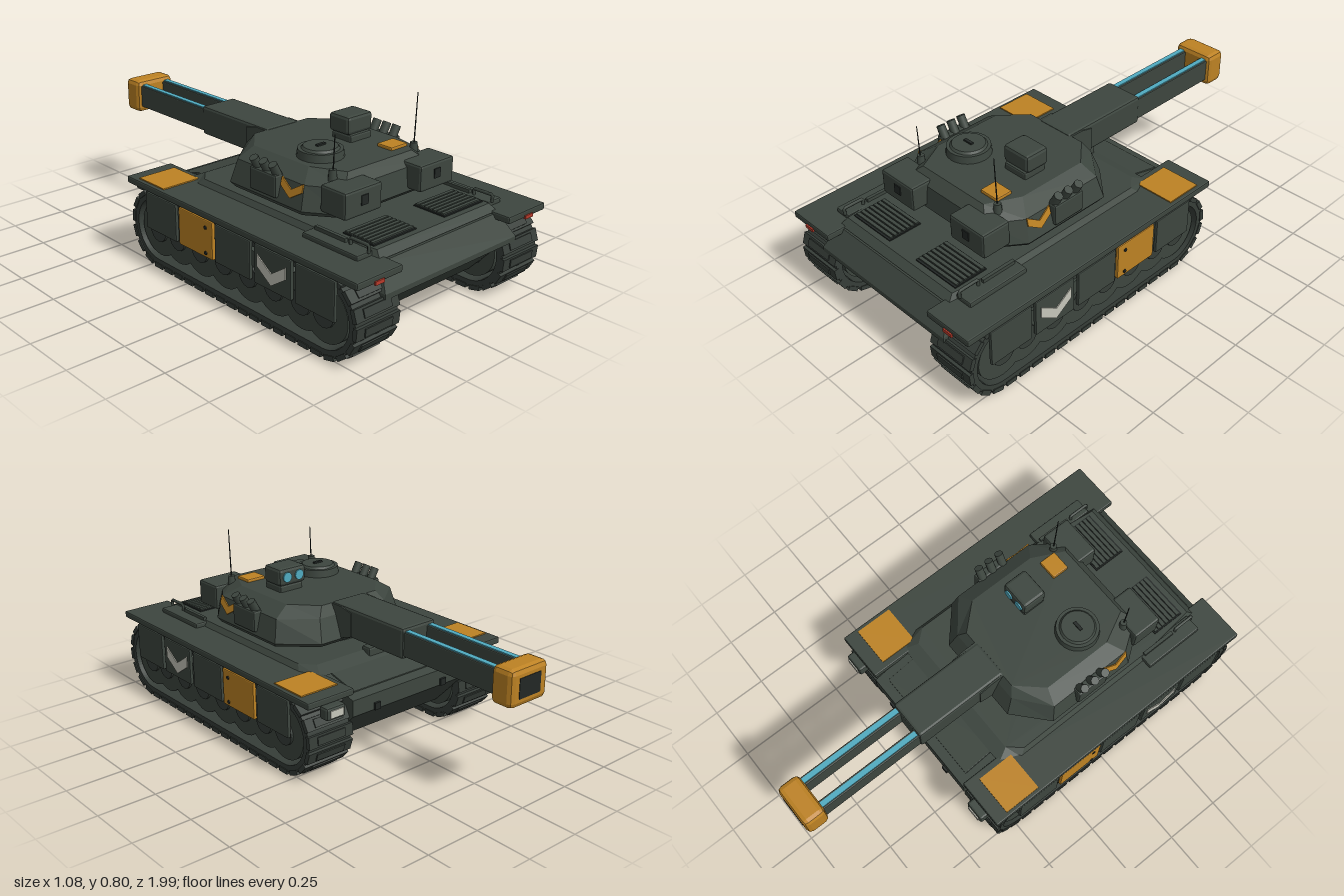
import * as THREE from 'three';
import { RoundedBoxGeometry } from 'three/addons/geometries/RoundedBoxGeometry.js';

const mat = (name, color) => {
  const m = new THREE.MeshStandardMaterial({ color });
  m.name = name;
  return m;
};

export function createModel() {
  const root = new THREE.Group();
  root.name = 'tank';
  const armour = mat('armourGreen', 0x3d463f), tread = mat('treadGreen', 0x363d38);
  const dark = mat('darkMetal', 0x222725), orange = mat('ochre', 0xbd8223);
  const blue = mat('glowBlue', 0x50abc0), white = mat('paleGrey', 0xc6c6ba), red = mat('lampRed', 0xb83a2a);

  const add = (name, geo, m, x = 0, y = 0, z = 0) => {
    const mesh = new THREE.Mesh(geo, m);
    mesh.name = name;
    mesh.position.set(x, y, z);
    root.add(mesh);
    return mesh;
  };
  // box given by its limits, with an optional chamfer
  const box = (name, m, x0, x1, y0, y1, z0, z1, c = 0) => {
    const w = x1 - x0, h = y1 - y0, d = z1 - z0;
    const g = c ? new RoundedBoxGeometry(w, h, d, 1, c) : new THREE.BoxGeometry(w, h, d);
    if (c) g.computeVertexNormals();
    return add(name, g, m, (x0 + x1) / 2, (y0 + y1) / 2, (z0 + z1) / 2);
  };
  // the same box on both sides
  const pair = (name, m, x0, x1, ...r) => {
    box(name, m, x0, x1, ...r);
    box(name, m, -x1, -x0, ...r);
  };
  const cyl = (name, m, r0, r1, h, x, y, z, n = 20) => add(name, new THREE.CylinderGeometry(r0, r1, h, n), m, x, y, z);
  const poly = pts => new THREE.Shape(pts.map(p => new THREE.Vector2(...p)));
  // side profile in (z, y), extruded across x and centred
  const profile = (shape, width) => {
    const g = new THREE.ExtrudeGeometry(shape, { depth: width, bevelEnabled: false, curveSegments: 16 });
    return g.translate(0, 0, -width / 2).rotateY(-Math.PI / 2);
  };
  // faceted solid through stacked rings of equal point count, lowest first
  const loft = rings => {
    const pos = [], n = rings[0].length;
    const tri = (...p) => p.forEach(v => pos.push(...v));
    for (let k = 0; k + 1 < rings.length; k++) for (let i = 0; i < n; i++) {
      const j = (i + 1) % n, a = rings[k], b = rings[k + 1];
      tri(a[i], b[j], a[j]);
      tri(a[i], b[i], b[j]);
    }
    const top = rings[rings.length - 1], bot = rings[0];
    for (let i = 1; i < n - 1; i++) {
      tri(top[0], top[i + 1], top[i]);
      tri(bot[0], bot[i], bot[i + 1]);
    }
    const g = new THREE.BufferGeometry();
    g.setAttribute('position', new THREE.Float32BufferAttribute(pos, 3));
    g.computeVertexNormals();
    return g;
  };
  // eight-cornered ring, clockwise from above: muzzle-end, side and engine-end half widths, four z stations
  const ring = (y, xf, xs, xr, z0, z1, z2, z3) => [
    [-xf, y, z0], [xf, y, z0], [xs, y, z1], [xs, y, z2],
    [xr, y, z3], [-xr, y, z3], [-xs, y, z2], [-xs, y, z1]];

  // hull
  add('lowerHull', profile(poly([[-.165, .372], [-.375, .32], [-.375, .25], [-.22, .09], [.8, .09], [.95, .25], [.89, .372]]), .62), armour);
  add('rearPlate', loft([
    ring(.25, .35, .375, .375, .78, .8, .9, .968),
    ring(.272, .35, .375, .375, .78, .8, .9, .968),
    ring(.365, .31, .335, .335, .78, .8, .87, .905)]), armour);
  pair('fender', armour, .305, .535, .345, .375, -.375, .983, .006);
  add('raisedDeck', loft([ring(.37, .33, .37, .335, -.2, -.11, .62, .9), ring(.397, .3, .35, .32, -.14, -.08, .6, .87)]), armour);
  box('glacisPanel', armour, -.27, .27, -.005, .005, -.085, .085, .003).position.set(0, .352, -.25);
  root.children[root.children.length - 1].rotation.x = -.243;
  box('driverPeriscope', armour, -.05, .05, .36, .415, -.18, -.13, .008);
  pair('frontTowHook', dark, .17, .2, .25, .28, -.385, -.35);
  pair('fenderPanel', orange, .335, .517, .372, .38, -.31, -.14);

  // engine grilles
  for (const s of [-1, 1]) {
    box('grille', dark, s * .195 - .115, s * .195 + .115, .39, .402, .69, .845);
    for (let i = 0; i < 7; i++)
      box('grilleSlat', armour, s * .195 - .11, s * .195 + .11, .398, .408, .695 + i * .021, .71 + i * .021);
  }
  pair('stowageRack', armour, .33, .41, .37, .395, .575, .86, .006);
  pair('towBar', armour, .345, .36, .39, .41, .59, .75);
  for (const s of [-1, 1]) {
    const pts = [[.77, .39], [.77, .42], [.86, .42], [.86, .39]].map(([z, y]) => new THREE.Vector3(s * .352, y, z));
    add('deckHandle', new THREE.TubeGeometry(new THREE.CatmullRomCurve3(pts, false, 'catmullrom', .1), 18, .007, 6), armour);
  }

  // lamps
  pair('headlampHousing', armour, .375, .47, .29, .345, -.41, -.36, .01);
  pair('headlampLens', white, .39, .455, .302, .333, -.415, -.408);
  pair('tailLamp', red, .403, .45, .341, .356, .98, .989);

  // running gear
  const R = .165, CY = .18, ZF = -.19, ZR = .8;
  const loop = (S, r) => {
    const s = new S();
    s.absarc(ZR, CY, r, -Math.PI / 2, Math.PI / 2, false);
    s.absarc(ZF, CY, r, Math.PI / 2, Math.PI * 1.5, false);
    s.closePath();
    return s;
  };
  const band = loop(THREE.Shape, R);
  band.holes.push(loop(THREE.Path, R - .03));
  const bandGeo = profile(band, .215), padGeo = new THREE.BoxGeometry(.222, .02, .052), cleatGeo = new THREE.BoxGeometry(.14, .012, .034);
  const straight = ZR - ZF, arc = Math.PI * R, total = 2 * (straight + arc), count = 44;
  for (const s of [-1, 1]) {
    const X = s * .412;
    add('trackBand', bandGeo, tread, X);
    for (let i = 0; i < count; i++) {
      let d = i / count * total, z, y, a;
      if (d < straight) { z = ZF + d; y = CY - R; a = 0; }
      else if (d < straight + arc) { a = (d - straight) / R; z = ZR + R * Math.sin(a); y = CY - R * Math.cos(a); }
      else if (d < 2 * straight + arc) { z = ZR - (d - straight - arc); y = CY + R; a = Math.PI; }
      else { a = Math.PI + (d - 2 * straight - arc) / R; z = ZF + R * Math.sin(a); y = CY - R * Math.cos(a); }
      add('trackPad', padGeo, tread, X, y, z).rotation.x = -a;
      add('trackCleat', cleatGeo, tread, X, y - .009 * Math.cos(a), z + .009 * Math.sin(a)).rotation.x = -a;
    }
    // idler, sprocket and road wheels
    const wheel = (name, r, z) => {
      cyl(name, armour, r, r, .19, X, CY, z, 28).rotation.z = Math.PI / 2;
      cyl(name + 'Hub', tread, r * .45, r * .55, .21, X, CY, z, 16).rotation.z = s * -Math.PI / 2;
    };
    wheel('sprocket', .118, ZR);
    wheel('idler', .118, ZF);
    for (let i = 0; i < 6; i++) wheel('roadWheel', .112, -.06 + i * .148);
    // skirt panels
    [[.67, .875], [.445, .65], [.21, .42], [-.02, .195], [-.245, -.04]].forEach(([a, b], i) => {
      box('skirtPanel', i === 3 ? orange : armour, s * .527 - .008, s * .527 + .008, .18, .342, a, b, .004);
      if (i === 3) for (const y of [.2, .31])
        cyl('panelBolt', dark, .008, .008, .006, s * .536, y, .155, 10).rotation.z = Math.PI / 2;
    });
    // chevrons on skirt and turret
    const chevron = (w, h, t) => profile(poly([[-w, h], [-w, h - t], [0, -h], [w, h - t], [w, h], [0, t - h]]), .006);
    add('skirtChevron', chevron(.08, .052, .05), white, s * .536, .255, .545);
    add('turretChevron', chevron(.06, .036, .035), orange, s * .3305, .5, .43).rotation.z = s * .25;
    // smoke launchers
    box('launcherBase', armour, s * .332 - .022, s * .332 + .022, .445, .54, .21, .365, .008);
    for (let i = 0; i < 3; i++)
      cyl('smokeTube', armour, .019, .019, .065, s * .335, .553, .235 + i * .055, 10).rotation.z = s * -.5;
    // bustle boxes
    box('bustleBox', armour, s * .208 - .098, s * .208 + .098, .442, .553, .56, .695, .01);
    box('bustleLatch', dark, s * .205 - .018, s * .205 + .018, .485, .525, .69, .699);
  }

  // turret
  cyl('turretRing', armour, .28, .29, .03, 0, .405, .28, 32);
  add('turret', loft([
    ring(.412, .19, .33, .24, -.03, .1, .49, .61),
    ring(.432, .2, .345, .25, -.05, .08, .5, .63),
    ring(.53, .18, .32, .23, -.015, .1, .49, .62),
    ring(.575, .15, .25, .18, .01, .12, .44, .58)]), armour);

  // commander hatch
  cyl('hatchRing', armour, .092, .096, .035, -.13, .59, .38, 24);
  cyl('hatchLid', armour, .07, .08, .012, -.13, .611, .38, 24);
  box('hatchHandle', dark, -.152, -.108, .615, .624, .373, .387);

  // sight head with paired lenses
  box('sightBase', armour, .06, .18, .565, .605, .25, .36, .008);
  box('sightHead', armour, .05, .19, .603, .682, .24, .355, .014);
  for (const x of [.088, .152])
    cyl('sightLens', blue, .022, .022, .008, x, .643, .238, 16).rotation.x = Math.PI / 2;
  box('roofPanel', orange, .112, .205, .545, .588, .455, .535, .005);

  // aerials
  for (const [x, top] of [[-.23, .73], [.227, .8]]) {
    cyl('aerialBase', armour, .015, .02, .06, x, .56, .55, 10);
    cyl('aerial', dark, .002, .003, top - .57, x, (top + .57) / 2, .555, 6).rotation.x = .04;
  }

  // gun housing, rails and muzzle
  add('gunMantlet', profile(poly([[.03, .435], [.03, .575], [-.05, .575], [-.11, .56], [-.11, .455], [-.05, .435]]), .19), armour);
  box('gunHousing', armour, -.09, .09, .448, .58, -.42, .02, .012);
  pair('gunRail', armour, .042, .082, .46, .562, -.91, -.4, .004);
  pair('railGlow', blue, .051, .074, .56, .567, -.905, -.42);
  box('muzzle', orange, -.1, .1, .432, .586, -.998, -.895, .022);
  box('muzzleOpening', dark, -.058, .058, .467, .55, -1, -.99);
  return root;
}
